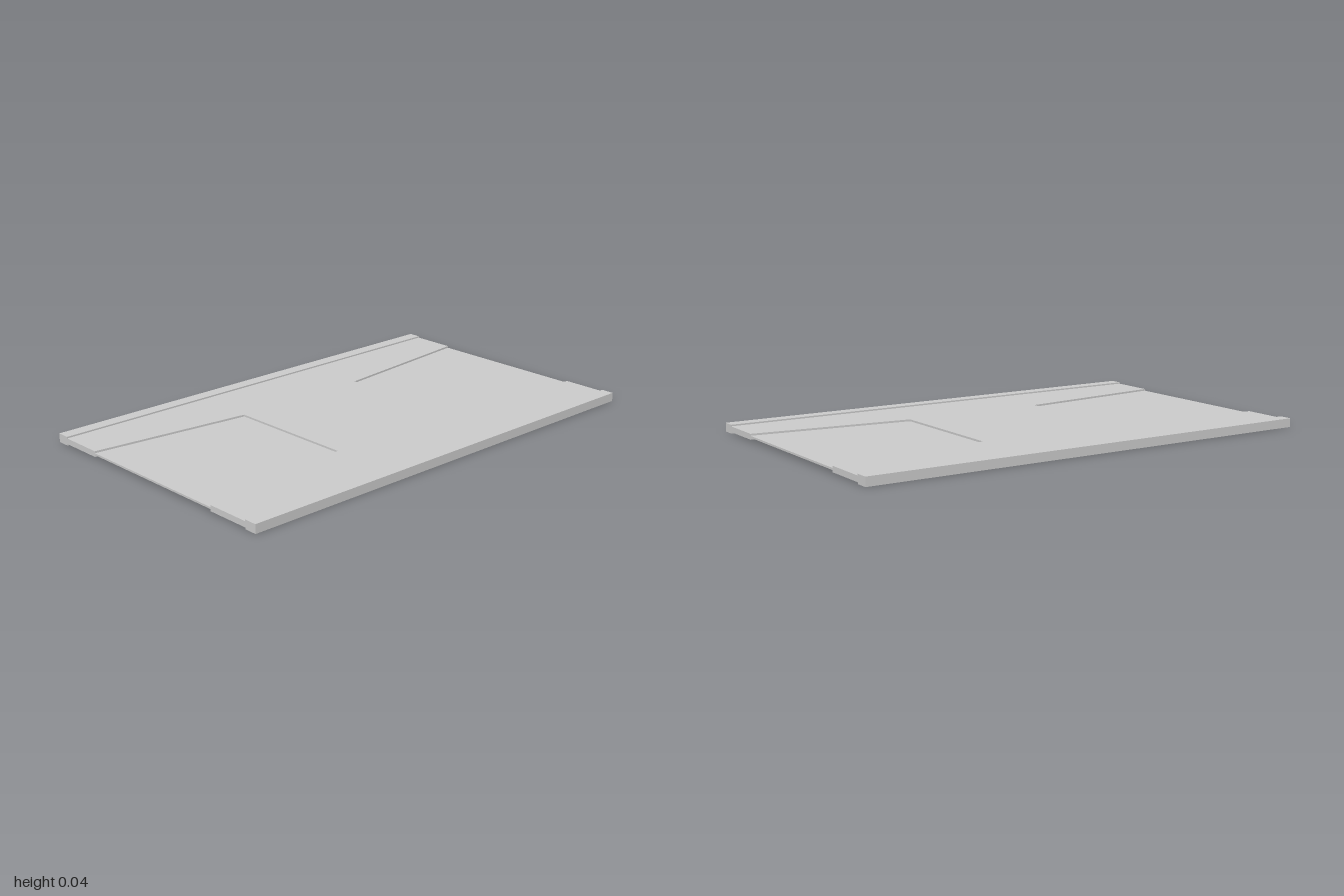
import * as THREE from 'three';

const HALF_WIDTH = 0.605, RAIL_INNER = 0.55, HALF_LENGTH = 1;
const HEIGHT = 0.037, MID = HEIGHT / 2;
const PLATE = 0.024, WEB = 0.008; // thicknesses
const INNER_X = 0.283, OUTER_X = 0.358, INNER_Z = 0.315; // recess trapezoid

const material = new THREE.MeshStandardMaterial({ color: 0xcccccc, flatShading: true });

// Flat slab from a plan outline of [x, z] points, centred on the mid height
function slab(name, outline, thickness) {
  const shape = new THREE.Shape(outline.map(([x, z]) => new THREE.Vector2(x, -z)));
  const geometry = new THREE.ExtrudeGeometry(shape, { depth: thickness, bevelEnabled: false });
  geometry.rotateX(-Math.PI / 2);
  geometry.translate(0, MID - thickness / 2, 0);
  const mesh = new THREE.Mesh(geometry, material);
  mesh.name = name;
  return mesh;
}

export function createModel() {
  const group = new THREE.Group();
  group.name = 'panel';

  // Main plate with a tapered notch at each end
  group.add(slab('plate', [
    [-RAIL_INNER, HALF_LENGTH], [-OUTER_X, HALF_LENGTH], [-INNER_X, INNER_Z],
    [INNER_X, INNER_Z], [OUTER_X, HALF_LENGTH], [RAIL_INNER, HALF_LENGTH],
    [RAIL_INNER, -HALF_LENGTH], [OUTER_X, -HALF_LENGTH], [INNER_X, -INNER_Z],
    [-INNER_X, -INNER_Z], [-OUTER_X, -HALF_LENGTH], [-RAIL_INNER, -HALF_LENGTH],
  ], PLATE));

  for (const side of [1, -1]) {
    // Thin web filling each notch, recessed above and below
    group.add(slab(side > 0 ? 'frontRecess' : 'backRecess', [
      [-OUTER_X, side * HALF_LENGTH], [-INNER_X, side * INNER_Z],
      [INNER_X, side * INNER_Z], [OUTER_X, side * HALF_LENGTH],
    ], WEB));

    // Thicker rail along each long edge
    const rail = new THREE.Mesh(
      new THREE.BoxGeometry(HALF_WIDTH - RAIL_INNER, HEIGHT, 2 * HALF_LENGTH), material);
    rail.position.set(side * (HALF_WIDTH + RAIL_INNER) / 2, MID, 0);
    rail.name = side > 0 ? 'leftRail' : 'rightRail';
    group.add(rail);
  }
  return group;
}
